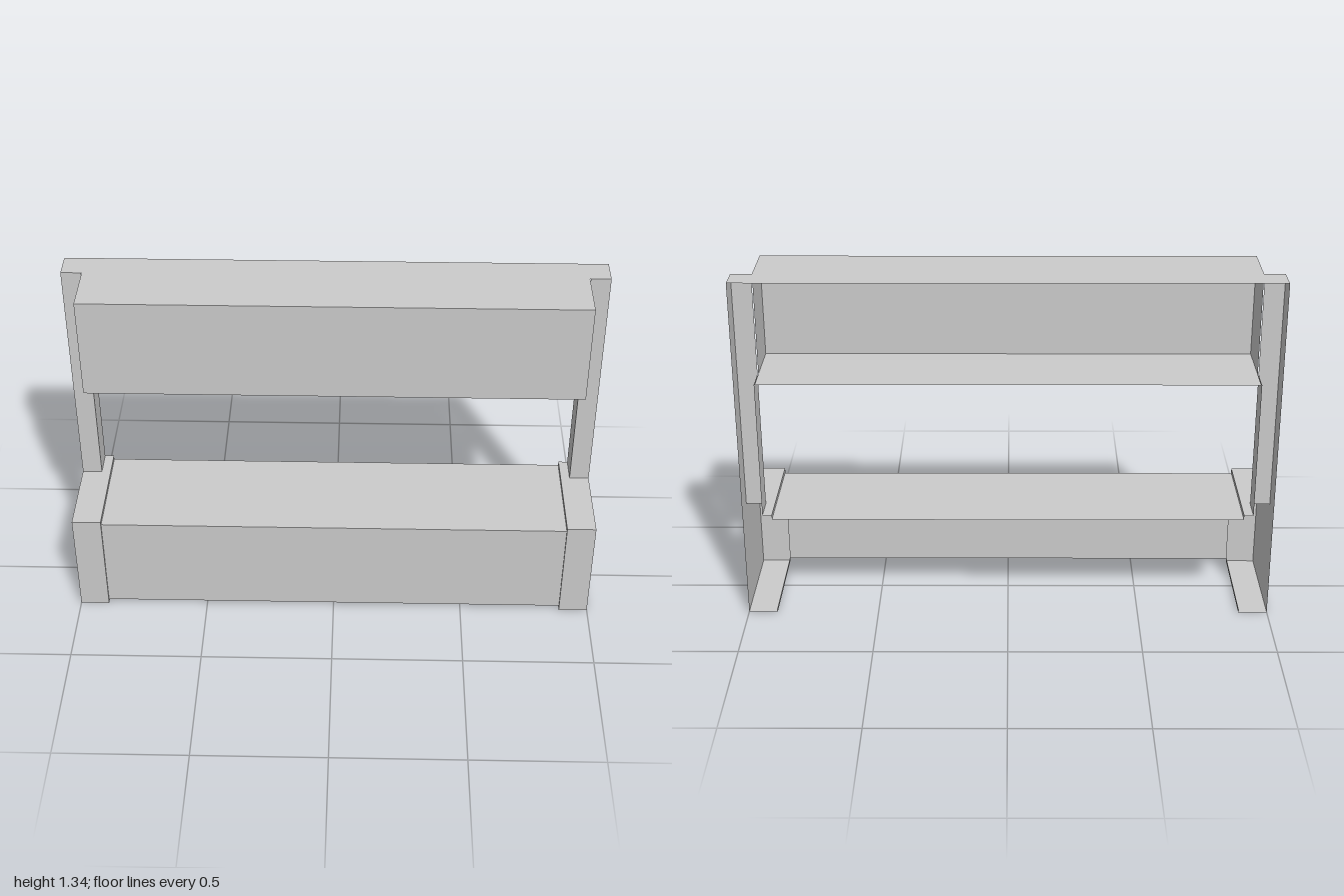
import * as THREE from 'three';

const BACK = -0.208, POST_Z = -0.105, TOP = 1.34;
const HEAD = { x: 0.922, y: 0.95, z: 0.102 };           // overhead shelf box
const SEAT = { x: 0.89, y0: 0.015, y1: 0.4, z: 0.2 };   // long lower box
const END = { y: 0.417, z: 0.208 };                     // end boxes
const POST_X = 0.925;

const material = new THREE.MeshStandardMaterial({
  color: 0xcccccc, flatShading: true, side: THREE.DoubleSide,
});

// One mesh from four-cornered panels, corners counter-clockwise from outside.
// mirror = -1 reflects them to the other side.
function panels(name, quads, mirror = 1) {
  const pos = [];
  for (const quad of quads) {
    const c = quad.map(([x, y, z]) => [x * mirror, y, z]);
    if (mirror < 0) c.reverse();
    for (const i of [0, 1, 2, 0, 2, 3]) pos.push(...c[i]);
  }
  const geometry = new THREE.BufferGeometry();
  geometry.setAttribute('position', new THREE.Float32BufferAttribute(pos, 3));
  geometry.computeVertexNormals();
  const mesh = new THREE.Mesh(geometry, material);
  mesh.name = name;
  return mesh;
}

// Sweep an open [y, z] profile along x
function sweep(profile, x0, x1) {
  return profile.slice(1).map(([y, z], i) => {
    const [py, pz] = profile[i];
    return [[x0, py, pz], [x1, py, pz], [x1, y, z], [x0, y, z]];
  });
}

// Upright panel facing along x, and flat panel facing up
const sidePanel = (x, y0, y1, z0, z1) =>
  [[x, y0, z1], [x, y0, z0], [x, y1, z0], [x, y1, z1]];
const flatPanel = (y, x0, x1, z0, z1) =>
  [[x0, y, z1], [x1, y, z1], [x1, y, z0], [x0, y, z0]];

export function createModel() {
  const model = new THREE.Group();
  model.name = 'shelfUnit';

  // Overhead box, open at the back
  model.add(panels('overheadBox', sweep(
    [[HEAD.y, BACK], [HEAD.y, HEAD.z], [TOP, HEAD.z], [TOP, BACK]], -HEAD.x, HEAD.x)));

  // Lower box: front and top only
  model.add(panels('lowerBox', sweep(
    [[SEAT.y0, SEAT.z], [SEAT.y1, SEAT.z], [SEAT.y1, BACK]], -SEAT.x, SEAT.x)));

  for (const side of [1, -1]) {
    const end = new THREE.Group();
    end.name = side > 0 ? 'leftEnd' : 'rightEnd';

    // L-shaped outer wall
    end.add(panels('outerWall', [
      sidePanel(1, 0, END.y, BACK, END.z),
      sidePanel(1, END.y, TOP, BACK, POST_Z),
    ], side));

    // End of the overhead box in front of the post
    end.add(panels('overheadEnd', [sidePanel(HEAD.x, HEAD.y, TOP, POST_Z, HEAD.z)], side));

    // Post: front, inner wall and cap, open at the back
    end.add(panels('post', [
      ...sweep([[END.y, POST_Z], [TOP, POST_Z]], POST_X, 1),
      sidePanel(POST_X, END.y, HEAD.y, BACK, POST_Z).reverse(),
      flatPanel(TOP, HEAD.x, 1, BACK, POST_Z),
    ], side));

    // End box: floor, front and top, opening into the lower box
    end.add(panels('endBox', [
      ...sweep([[0, BACK], [0, END.z], [END.y, END.z]], SEAT.x, 1),
      flatPanel(END.y, POST_X, 1, POST_Z, END.z),
      flatPanel(END.y, SEAT.x, POST_X, BACK, END.z),
    ], side));

    // Narrow lip where the end box steps out from the lower box
    end.add(panels('lip', [
      sidePanel(SEAT.x, 0, SEAT.y0, BACK, END.z).reverse(),
      sidePanel(SEAT.x, SEAT.y0, SEAT.y1, SEAT.z, END.z).reverse(),
      sidePanel(SEAT.x, SEAT.y1, END.y, BACK, END.z).reverse(),
    ], side));

    model.add(end);
  }
  return model;
}
